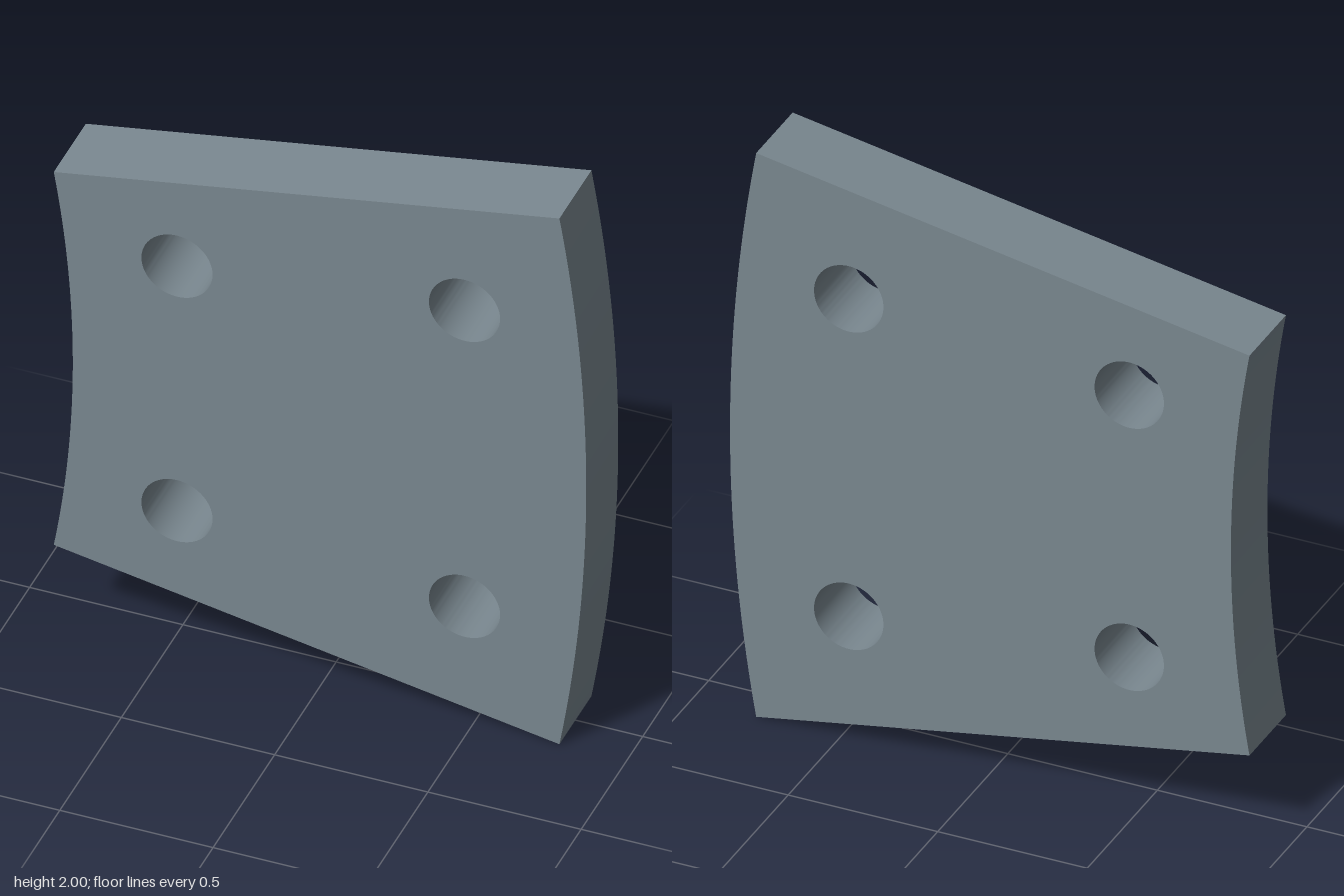
import * as THREE from 'three';
import { toCreasedNormals } from 'three/addons/utils/BufferGeometryUtils.js';

const HALF_ANGLE = THREE.MathUtils.degToRad(10);
const OUTER = 5.759, INNER = 4.084; // arc radii
const CENTRE_X = -4.891;            // shared arc centre
const DEPTH = 0.26;
const HOLE_RADIUS = 0.116;

export function createModel() {
  const group = new THREE.Group();
  group.name = 'sectorPlate';

  // Ring sector outline, centred on y = 0
  const shape = new THREE.Shape();
  shape.absarc(CENTRE_X, 0, OUTER, -HALF_ANGLE, HALF_ANGLE, false);
  shape.absarc(CENTRE_X, 0, INNER, HALF_ANGLE, -HALF_ANGLE, true);
  shape.closePath();

  // Four bolt holes, mirrored top and bottom
  for (const [x, y] of [[-0.467, 0.465], [0.471, 0.563]]) {
    for (const side of [-1, 1]) {
      const hole = new THREE.Path();
      hole.absarc(x, side * y, HOLE_RADIUS, 0, Math.PI * 2, true);
      shape.holes.push(hole);
    }
  }

  // Plate body with smooth arcs and bores, sharp rims
  const extruded = new THREE.ExtrudeGeometry(shape, { depth: DEPTH, bevelEnabled: false, curveSegments: 48 });
  extruded.translate(0, 1, -DEPTH / 2);
  const plate = new THREE.Mesh(
    toCreasedNormals(extruded, Math.PI / 6),
    new THREE.MeshStandardMaterial({ color: 0x7a8890 })
  );
  plate.name = 'plate';
  group.add(plate);
  return group;
}
